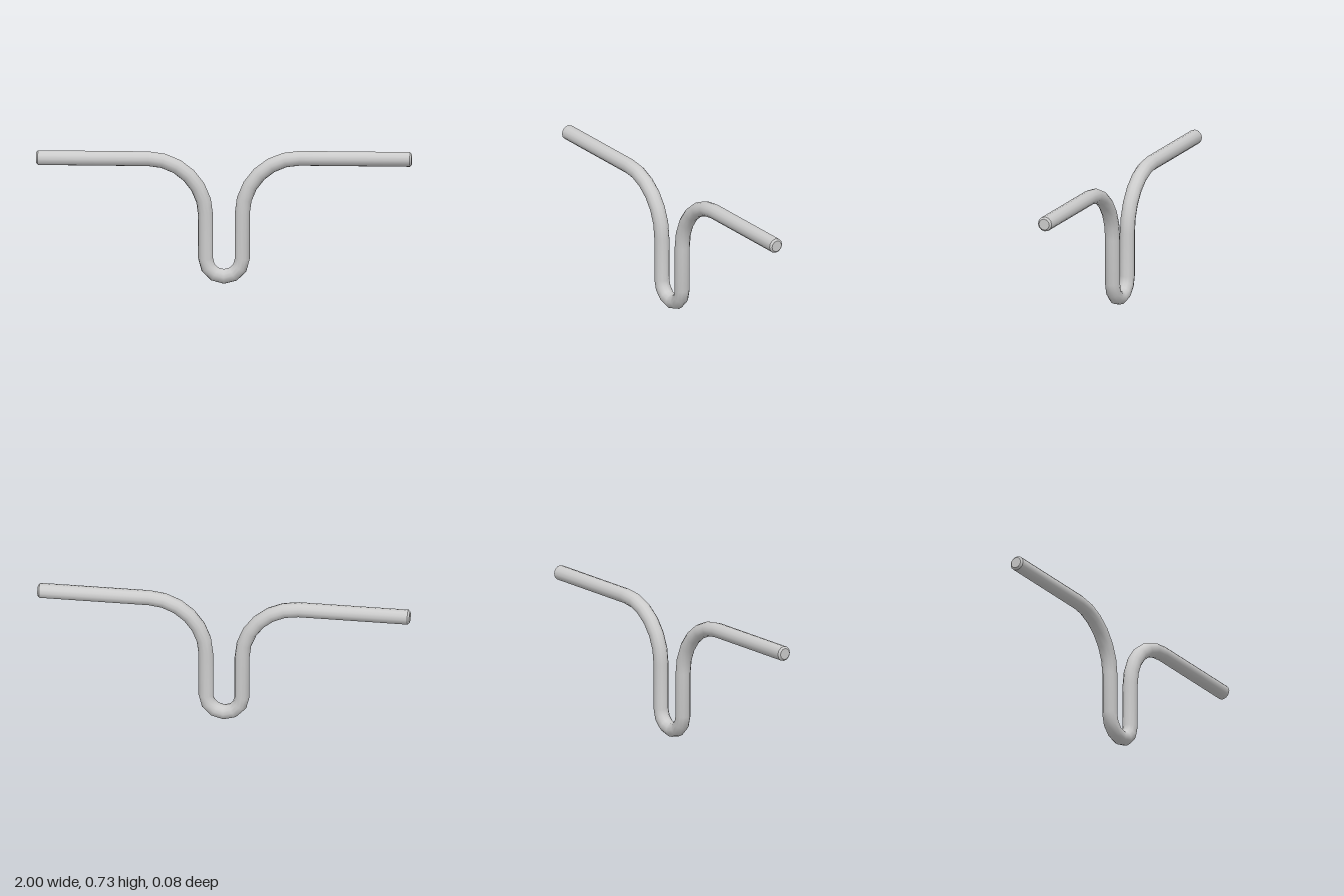
import * as THREE from 'three';
import { toCreasedNormals } from 'three/addons/utils/BufferGeometryUtils.js';

const SIDES = 12;
const ROD = 0.04;      // rod radius
const CAP = 0.03;      // radius of the chamfered end face
const LEG = 0.0975;    // x of the two upright legs, and radius of the U bend
const BEND = 0.305;    // radius of the upper bends
const RIGHT_Y = 0.677; // height of the arm on -x
const LEFT_Y = 0.688;  // height of the arm on +x

// One cross-section: centre, travel direction in the xy plane, radius
const station = (x, y, heading, r = ROD) => ({ x, y, heading, r });

// Stations along an arc; turn is +1 for counter-clockwise travel, -1 for clockwise
function arc(cx, cy, radius, from, to, steps) {
  const turn = Math.sign(to - from);
  return Array.from({ length: steps + 1 }, (_, i) => {
    const a = from + (to - from) * i / steps;
    return station(cx + radius * Math.cos(a), cy + radius * Math.sin(a), a + turn * Math.PI / 2);
  });
}

// Sweep a round section through the stations
function sweep(stations) {
  const positions = [], index = [];
  stations.forEach(({ x, y, heading, r }, i) => {
    for (let j = 0; j < SIDES; j++) {
      const a = j / SIDES * Math.PI * 2;
      const n = r * Math.cos(a);
      positions.push(x - Math.sin(heading) * n, y + Math.cos(heading) * n, r * Math.sin(a));
      if (i === 0) continue;
      const k = (j + 1) % SIDES, p = (i - 1) * SIDES, q = i * SIDES;
      if (stations[i - 1].r > 0) index.push(p + j, p + k, q + j);
      if (r > 0) index.push(p + k, q + k, q + j);
    }
  });
  const geometry = new THREE.BufferGeometry();
  geometry.setAttribute('position', new THREE.Float32BufferAttribute(positions, 3));
  geometry.setIndex(index);
  return toCreasedNormals(geometry, 0.76);
}

export function createModel() {
  const group = new THREE.Group();
  group.name = 'bentRod';
  const half = Math.PI / 2;
  const path = [
    // chamfered end of the arm on -x
    station(-1, RIGHT_Y, 0, 0),
    station(-1, RIGHT_Y, 0, CAP),
    station(-0.99, RIGHT_Y, 0),
    // upper bend, U bend, upper bend
    ...arc(-LEG - BEND, RIGHT_Y - BEND, BEND, half, 0, 6),
    ...arc(0, ROD + LEG, LEG, Math.PI, 2 * Math.PI, 6),
    ...arc(LEG + BEND, LEFT_Y - BEND, BEND, Math.PI, half, 6),
    // chamfered end of the arm on +x
    station(0.99, LEFT_Y, 0),
    station(1, LEFT_Y, 0, CAP),
    station(1, LEFT_Y, 0, 0),
  ];
  const rod = new THREE.Mesh(sweep(path), new THREE.MeshStandardMaterial({ color: 0xcccccc }));
  rod.name = 'rod';
  group.add(rod);
  return group;
}
